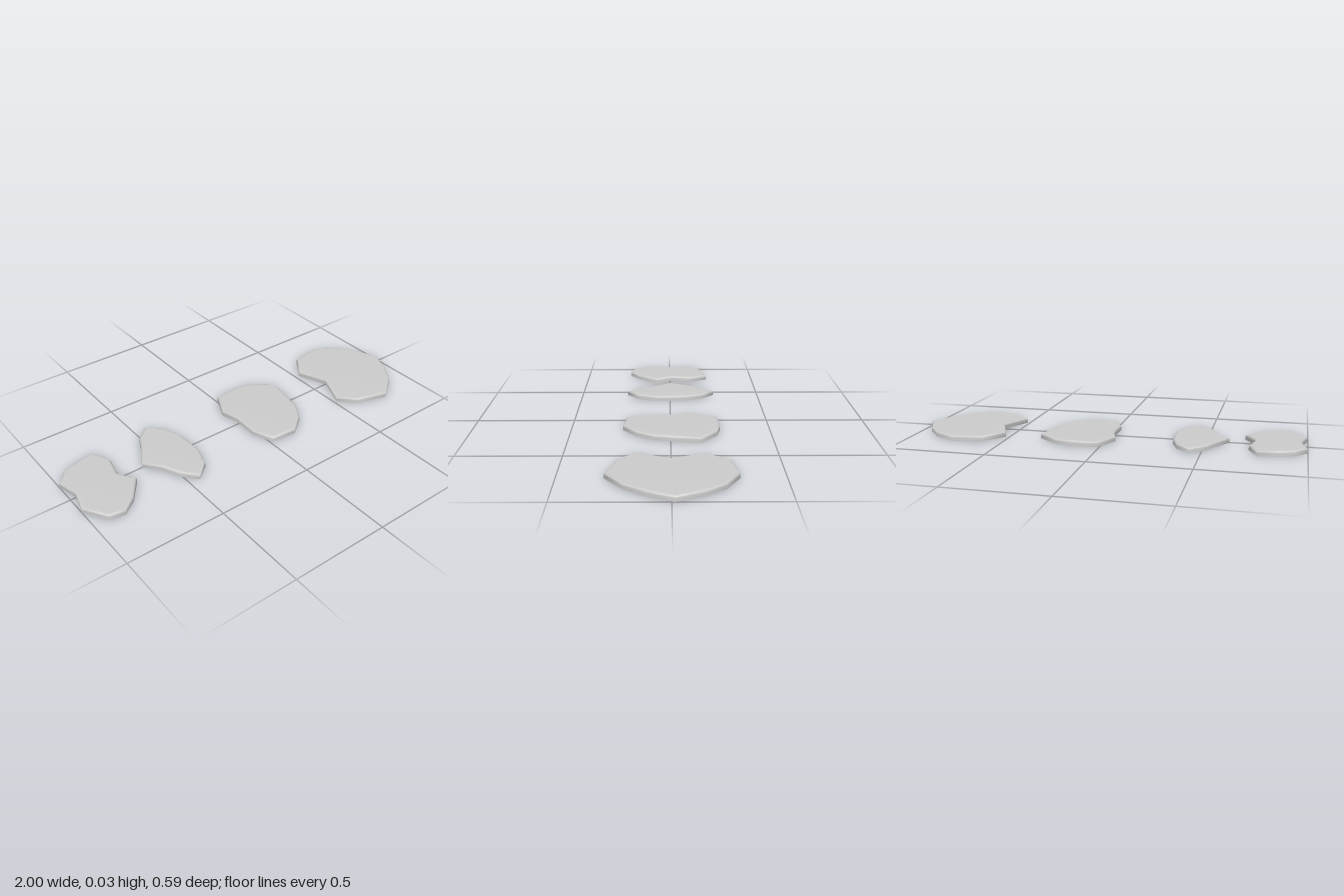
import * as THREE from 'three';

// Plan outlines as [x, z], running clockwise seen from above
const OUTLINES = {
  notchedStone: [[-1, -.11], [-.94, -.18], [-.87, -.205], [-.765, -.223], [-.72, -.12], [-.745, -.01],
    [-.69, .075], [-.775, .185], [-.85, .24], [-.925, .225], [-1, .11], [-.97, 0]],
  leafStone: [[-.445, -.247], [-.375, -.18], [-.345, -.095], [-.335, 0], [-.335, .08], [-.37, .18],
    [-.445, .242], [-.51, .17], [-.55, .08], [-.617, 0], [-.55, -.115], [-.52, -.18]],
  broadStone: [[.01, -.24], [.07, -.248], [.155, -.248], [.23, -.23], [.333, -.145], [.315, -.03],
    [.295, .08], [.24, .17], [.15, .24], [.015, .228], [-.03, .125], [-.025, -.015], [-.052, -.11]],
  largeStone: [[.605, -.272], [.76, -.297], [.875, -.23], [.945, -.14], [1, -.015], [.95, .1],
    [.875, .205], [.76, .292], [.595, .243], [.513, .163], [.585, 0], [.52, -.155]],
};

// Rounded edge as [inset, height]
const EDGE = [[0, 0], [0, .017], [.002, .021], [.006, .025], [.012, .027]];

// Moves an outline inwards with mitred corners
function inset(points, amount) {
  const n = points.length;
  const inward = points.map((p, i) => {
    const q = points[(i + 1) % n];
    return new THREE.Vector2(p.y - q.y, q.x - p.x).normalize();
  });
  return points.map((p, i) => {
    const a = inward[(i + n - 1) % n], b = inward[i];
    return a.clone().add(b).multiplyScalar(amount / (1 + a.dot(b))).add(p);
  });
}

// A thin shell: upright wall, rounded rim and flat top, open underneath
function stoneGeometry(outline) {
  const points = outline.map(([x, z]) => new THREE.Vector2(x, z));
  const n = points.length, positions = [], index = [];
  let ring;
  EDGE.forEach(([amount, y], r) => {
    ring = inset(points, amount);
    ring.forEach((p) => positions.push(p.x, y, p.y));
    if (r === 0) return;
    for (let i = 0; i < n; i++) {
      const j = (i + 1) % n, low = (r - 1) * n, high = r * n;
      index.push(low + j, low + i, high + i, low + j, high + i, high + j);
    }
  });
  const top = (EDGE.length - 1) * n;
  for (const [a, b, c] of THREE.ShapeUtils.triangulateShape(ring, [])) {
    index.push(top + a, top + c, top + b);
  }
  const geometry = new THREE.BufferGeometry();
  geometry.setAttribute('position', new THREE.Float32BufferAttribute(positions, 3));
  geometry.setIndex(index);
  geometry.computeVertexNormals();
  return geometry;
}

export function createModel() {
  const group = new THREE.Group();
  group.name = 'steppingStones';
  const material = new THREE.MeshStandardMaterial({ color: 0xcccccc, side: THREE.DoubleSide });
  for (const [name, outline] of Object.entries(OUTLINES)) {
    const stone = new THREE.Mesh(stoneGeometry(outline), material);
    stone.name = name;
    group.add(stone);
  }
  return group;
}
